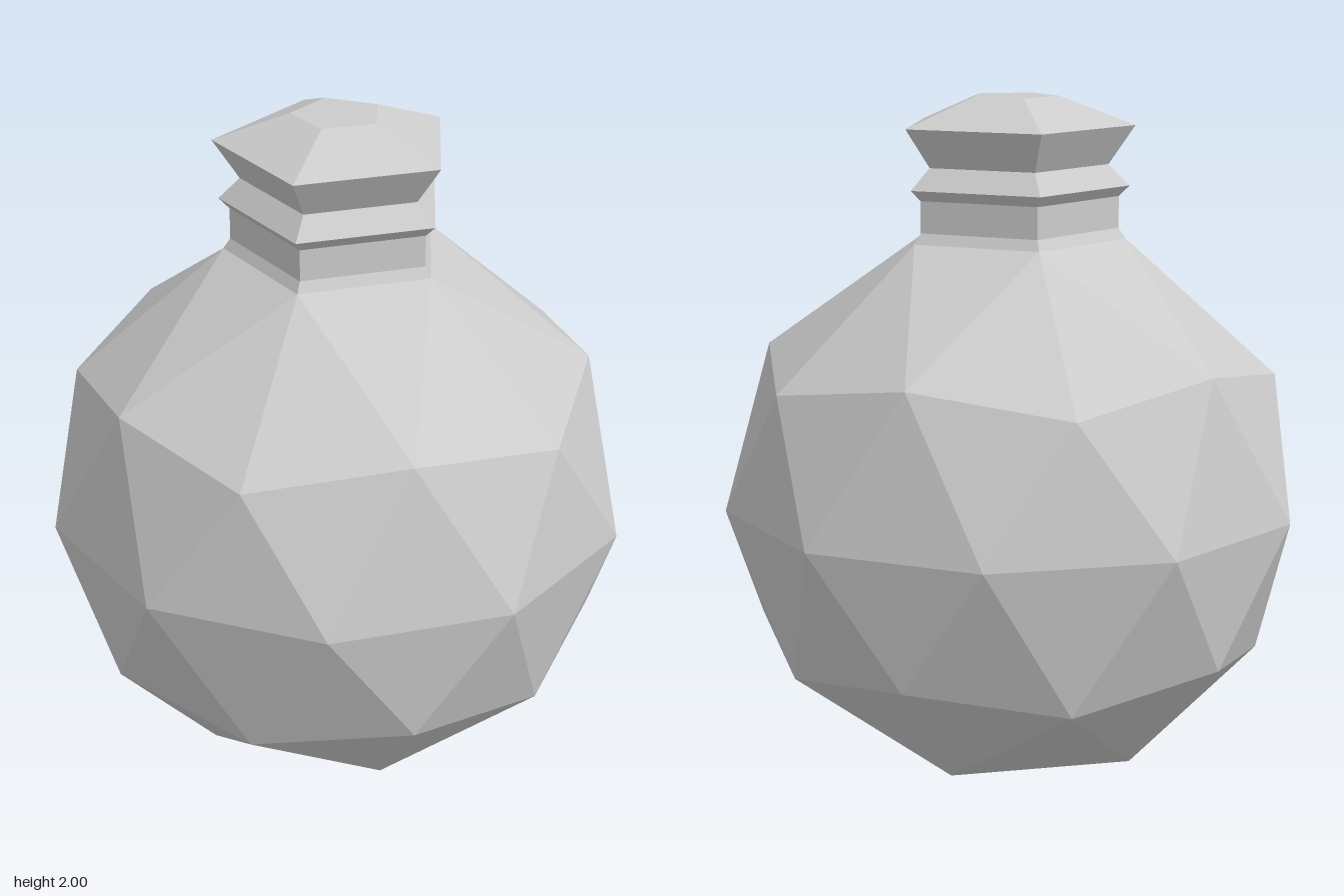
import * as THREE from 'three';

const R = 0.84;                          // body radius
const COLLAR_R = 0.32, COLLAR_Y = 1.6;   // where body meets neck

const material = new THREE.MeshStandardMaterial({ color: 0xcccccc, flatShading: true });

// Faceted round body: icosphere standing on a vertex, opened and drawn up into the neck
function createBody() {
  const geo = new THREE.IcosahedronGeometry(R, 1);
  geo.rotateZ(-Math.atan(2 / (1 + Math.sqrt(5))));
  geo.translate(0, R, 0);

  const pos = geo.attributes.position;
  const v = new THREE.Vector3();
  const kept = [];
  for (let i = 0; i < pos.count; i += 3) {
    const tri = [0, 1, 2].map(k => new THREE.Vector3().fromBufferAttribute(pos, i + k));
    if (tri.some(p => p.y > 1.97 * R)) continue;   // leave out the cap under the neck
    for (const p of tri) {
      v.copy(p);
      if (v.y > 1.75 * R) {                        // ring around the opening
        const s = COLLAR_R / Math.hypot(v.x, v.z);
        v.set(v.x * s, COLLAR_Y, v.z * s);
      }
      kept.push(v.x, v.y, v.z);
    }
  }
  const body = new THREE.BufferGeometry();
  body.setAttribute('position', new THREE.Float32BufferAttribute(kept, 3));
  body.computeVertexNormals();
  return body;
}

// Five-sided profile turned about y, with a corner pointing to +x
function turned(profile) {
  const points = profile.map(([r, y]) => new THREE.Vector2(r, y));
  return new THREE.LatheGeometry(points, 5, Math.PI / 2);
}

export function createModel() {
  const group = new THREE.Group();
  const add = (name, geometry) => {
    const mesh = new THREE.Mesh(geometry, material);
    mesh.name = name;
    group.add(mesh);
  };

  add('body', createBody());
  add('neck', turned([[COLLAR_R, COLLAR_Y], [0.3, 1.63], [0.3, 1.72]]));
  add('neckRing', turned([[0.3, 1.72], [0.33, 1.75], [0.27, 1.81]]));
  add('stopper', turned([[0.27, 1.81], [0.345, 1.92], [0.13, 2], [0, 2]]));
  return group;
}
